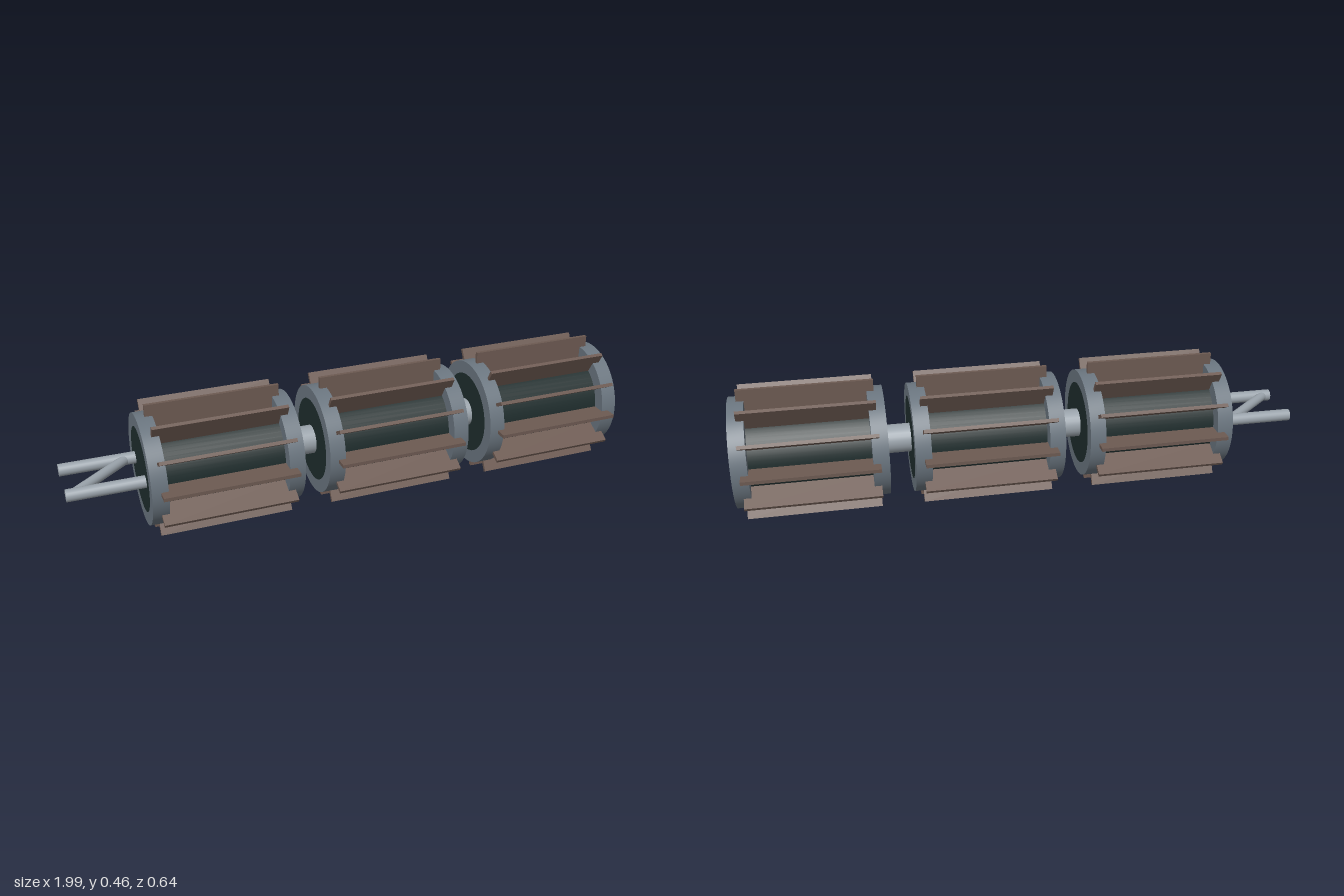
import * as THREE from 'three';
import { toCreasedNormals } from 'three/addons/utils/BufferGeometryUtils.js';

const AXIS_Y = 0.23, YAW = 0.108;
const DRUM_LENGTH = 0.515, RING_WIDTH = 0.055, RING_R = 0.19, CORE_R = 0.145;
const SLATS = 12, SLAT_LENGTH = 0.455, SLAT_R = 0.23, SLAT_THICK = 0.012;

function material(name, color) {
  const m = new THREE.MeshStandardMaterial({ color });
  m.name = name;
  return m;
}

function addMesh(parent, name, geometry, mat) {
  const mesh = new THREE.Mesh(geometry, mat);
  mesh.name = name;
  parent.add(mesh);
  return mesh;
}

// Round bar between two points
function addRod(parent, name, a, b, radius, mat) {
  const from = new THREE.Vector3(...a), to = new THREE.Vector3(...b);
  const dir = to.clone().sub(from);
  const rod = addMesh(parent, name, new THREE.CylinderGeometry(radius, radius, dir.length(), 24), mat);
  rod.position.copy(from).add(to).multiplyScalar(0.5);
  rod.quaternion.setFromUnitVectors(new THREE.Vector3(0, 1, 0), dir.normalize());
  return rod;
}

// End ring lying along x, centred on its own width
function ringGeometry() {
  const shape = new THREE.Shape().absarc(0, 0, RING_R, 0, Math.PI * 2, false);
  shape.holes.push(new THREE.Path().absarc(0, 0, CORE_R, 0, Math.PI * 2, true));
  const g = new THREE.ExtrudeGeometry(shape, { depth: RING_WIDTH, bevelEnabled: false, curveSegments: 56 });
  g.translate(0, 0, -RING_WIDTH / 2).rotateY(Math.PI / 2);
  return toCreasedNormals(g, 0.6);
}

export function createModel() {
  const ringSteel = material('blue grey steel', 0x6b7680);
  const coreDark = material('dark core', 0x1f2d2d);
  const slatBrown = material('brown slat', 0x6d5a52);
  const barSteel = material('light steel', 0x9aa3ab);

  const model = new THREE.Group();
  model.name = 'drumRoller';
  const train = new THREE.Group();
  train.name = 'rollerTrain';
  train.position.set(0, AXIS_Y, 0.01);
  train.rotation.y = YAW;
  model.add(train);

  const ring = ringGeometry();
  const core = new THREE.CylinderGeometry(CORE_R, CORE_R, DRUM_LENGTH, 56).rotateZ(Math.PI / 2);
  const slatDepth = SLAT_R - CORE_R + 0.01;
  const slat = new THREE.BoxGeometry(SLAT_LENGTH, slatDepth, SLAT_THICK)
    .translate(0, SLAT_R - slatDepth / 2, 0);

  // Three bladed drums in a row
  const centres = [-0.483, 0.119, 0.72];
  centres.forEach((x, i) => {
    const drum = new THREE.Group();
    drum.name = `drum${i + 1}`;
    drum.position.x = x;
    train.add(drum);
    addMesh(drum, 'core', core, coreDark);
    for (const side of [-1, 1]) {
      addMesh(drum, 'endRing', ring, ringSteel).position.x = side * (DRUM_LENGTH - RING_WIDTH) / 2;
    }
    for (let k = 0; k < SLATS; k++) {
      addMesh(drum, 'slat', slat, slatBrown).rotation.x = (k / SLATS) * Math.PI * 2;
    }
  });

  // Shafts joining neighbouring drums
  const half = DRUM_LENGTH / 2 - 0.01;
  for (let i = 0; i < 2; i++) {
    addRod(train, 'shaft', [centres[i] + half, 0, 0], [centres[i + 1] - half, 0, 0], 0.05, barSteel);
  }

  // Tow bars with a diagonal brace
  for (const z of [-0.0885, 0.0885]) {
    addRod(train, 'towBar', [-0.995, 0, z], [-0.73, 0, z], 0.021, barSteel);
  }
  addRod(train, 'towBrace', [-0.975, 0, 0.0885], [-0.77, 0, -0.0885], 0.017, barSteel);

  return model;
}
